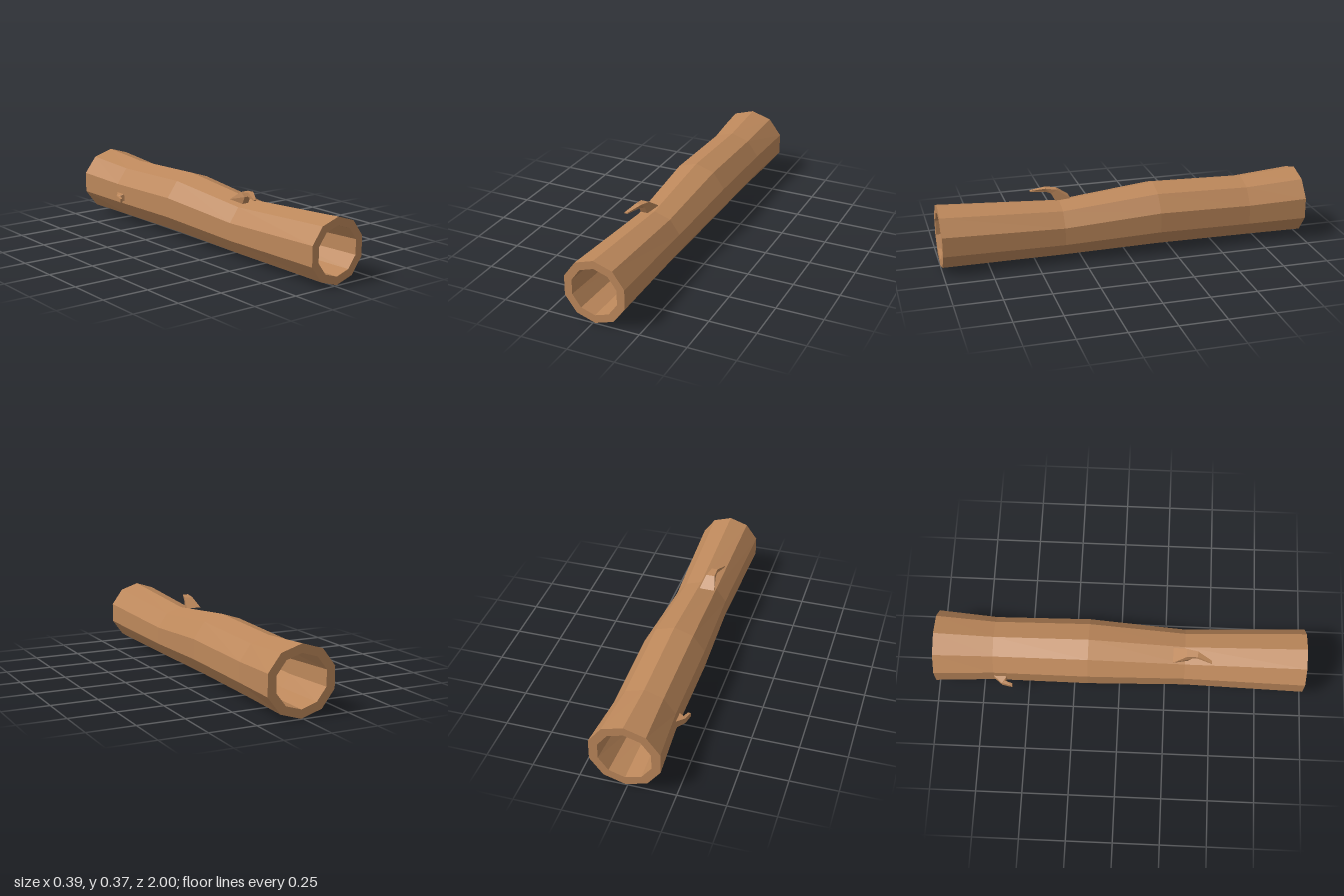
import * as THREE from 'three';

// Skin a list of equal-length cross-sections; each runs counter-clockwise as seen from the end
function loft(sections, capEnd) {
  const pos = [];
  const n = sections[0].length;
  const tri = (a, b, c) => pos.push(...a, ...b, ...c);
  for (let i = 0; i < sections.length - 1; i++) {
    for (let j = 0; j < n; j++) {
      const k = (j + 1) % n;
      const a = sections[i][j], b = sections[i][k];
      const c = sections[i + 1][k], d = sections[i + 1][j];
      tri(a, b, c);
      tri(a, c, d);
    }
  }
  if (capEnd) {
    const e = sections[sections.length - 1];
    for (let j = 1; j < n - 1; j++) tri(e[0], e[j], e[j + 1]);
  }
  const geo = new THREE.BufferGeometry();
  geo.setAttribute('position', new THREE.Float32BufferAttribute(pos, 3));
  geo.computeVertexNormals();
  return geo;
}

// Ten-sided ring with a corner at the top
function ring([z, cy, rx, ry], scale) {
  return Array.from({ length: 10 }, (_, j) => {
    const a = Math.PI / 2 + (j * Math.PI) / 5;
    return [0.0125 + rx * scale * Math.cos(a), cy + ry * scale * Math.sin(a), z];
  });
}

export function createModel() {
  const group = new THREE.Group();
  const bark = new THREE.MeshStandardMaterial({ color: 0xbd885b });
  bark.name = 'bark brown';
  bark.flatShading = true;

  const add = (name, geo) => {
    const mesh = new THREE.Mesh(geo, bark);
    mesh.name = name;
    group.add(mesh);
  };

  // Hollow trunk: z, centre height, half width, half height
  const stations = [
    [-1, 0.185, 0.192, 0.183],
    [-0.68, 0.174, 0.17, 0.171],
    [-0.17, 0.184, 0.175, 0.176],
    [0.35, 0.153, 0.15, 0.153],
    [1, 0.1735, 0.171, 0.171],
  ];
  const outer = stations.map((s) => ring(s, 1));
  const inner = stations.map((s) => ring(s, 0.748)).reverse();
  add('hollowTrunk', loft([...outer, ...inner, outer[0]], false));

  // Bent twig on top: [left x, right x, z, y] of the upper edge, then of the lower edge
  const topTwig = [
    [[-0.08, 0.005, 0.285, 0.308], [-0.06, -0.02, 0.365, 0.295]],
    [[-0.062, -0.015, 0.355, 0.357], [-0.062, -0.025, 0.385, 0.335]],
    [[-0.063, -0.03, 0.415, 0.364], [-0.063, -0.038, 0.412, 0.343]],
    [[-0.088, -0.072, 0.49, 0.343], [-0.088, -0.072, 0.49, 0.337]],
  ].map(([t, b]) => [
    [t[1], t[3], t[2]], [t[0], t[3], t[2]],
    [b[0], b[3], b[2]], [b[1], b[3], b[2]],
  ]);
  add('topTwig', loft(topTwig, true));

  // Stub on the right side: outer x, outer z, inner x, inner z, top, bottom
  const sideTwig = [
    [-0.146, -0.685, -0.146, -0.61, 0.178, 0.136],
    [-0.187, -0.635, -0.172, -0.62, 0.17, 0.14],
    [-0.198, -0.58, -0.183, -0.58, 0.162, 0.14],
  ].map(([xo, zo, xi, zi, t, b]) => [[xo, t, zo], [xo, b, zo], [xi, b, zi], [xi, t, zi]]);
  add('sideTwig', loft(sideTwig, true));

  return group;
}
